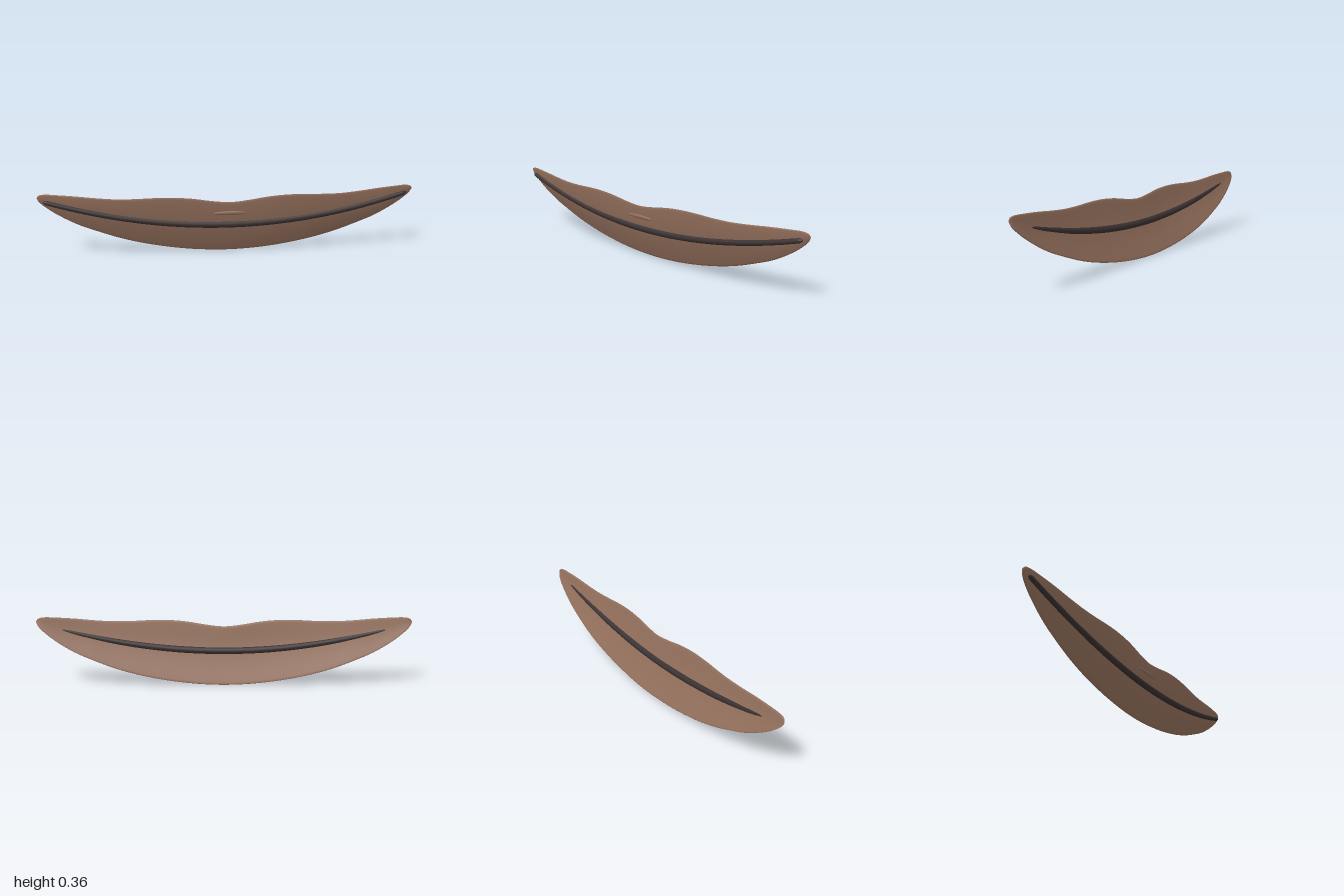
import * as THREE from 'three';

// Joins closed cross-sections (arrays of Vector3) into one smooth skin
function loft(rings) {
  const n = rings[0].length, pos = [], index = [];
  for (const ring of rings) for (const p of ring) pos.push(p.x, p.y, p.z);
  for (let i = 0; i < rings.length - 1; i++) {
    for (let j = 0; j < n; j++) {
      const a = i * n + j, b = i * n + (j + 1) % n;
      index.push(a, a + n, b, b, a + n, b + n);
    }
  }
  const geo = new THREE.BufferGeometry();
  geo.setAttribute('position', new THREE.Float32BufferAttribute(pos, 3));
  geo.setIndex(index);
  geo.computeVertexNormals();
  return geo;
}

// Outline of one half: x, lower y, lower z, upper y, upper z
const OUTLINE = [
  [0, 0.002, -0.050, 0.303, 0.045],
  [0.1, 0.005, -0.050, 0.313, 0.047],
  [0.2, 0.013, -0.049, 0.329, 0.050],
  [0.3, 0.026, -0.049, 0.337, 0.050],
  [0.4, 0.044, -0.048, 0.337, 0.047],
  [0.5, 0.067, -0.047, 0.333, 0.041],
  [0.6, 0.097, -0.044, 0.333, 0.034],
  [0.7, 0.135, -0.040, 0.340, 0.026],
  [0.8, 0.178, -0.034, 0.350, 0.018],
  [0.9, 0.238, -0.026, 0.357, 0.008],
  [0.96, 0.285, -0.019, 0.359, 0.001],
  [0.99, 0.317, -0.012, 0.352, -0.003],
  [1, 0.338, -0.007, 0.338, -0.007],
];

function outlineCurve(yi, zi) {
  const right = OUTLINE.map(r => new THREE.Vector3(r[0], r[yi], r[zi]));
  const left = right.slice(1).reverse().map(p => new THREE.Vector3(-p.x, p.y, p.z));
  return new THREE.CatmullRomCurve3([...left, ...right]);
}

// Thin leaning shell, bowed forward between its lower and upper rims
function lipGeometry() {
  const lower = outlineCurve(1, 2), upper = outlineCurve(3, 4);
  const rings = [], steps = 120, rows = 16;
  for (let i = 0; i <= steps; i++) {
    const a = lower.getPoint(i / steps), b = upper.getPoint(i / steps);
    const height = b.y - a.y;
    const front = [], back = [];
    for (let j = 0; j <= rows; j++) {
      const t = (1 - Math.cos(Math.PI * j / rows)) / 2;
      const p = a.clone().lerp(b, t);
      p.z += 0.048 * height * Math.sin(Math.PI * t);
      const half = 0.0055 * Math.min(1, height / 0.05) *
        Math.pow(Math.max(0, Math.sin(Math.PI * j / rows)), 0.3);
      front.push(new THREE.Vector3(p.x, p.y, p.z + half));
      if (j > 0 && j < rows) back.unshift(new THREE.Vector3(p.x, p.y, p.z - half));
    }
    rings.push([...front, ...back].reverse());
  }
  return loft(rings);
}

// Round strand following the smile, slimmer towards its rounded ends
function mouthLineGeometry() {
  const rings = [], steps = 100, sides = 16, reach = 0.968;
  for (let i = 0; i <= steps; i++) {
    const s = -Math.cos(Math.PI * i / steps), k = s * s;
    const x = s * reach;
    const cap = Math.sqrt(Math.min(1, Math.max(0, (1 - Math.abs(s)) / 0.015)));
    const r = (0.019 - 0.008 * k) * cap;
    const ring = [];
    for (let j = 0; j < sides; j++) {
      const a = 2 * Math.PI * j / sides;
      const dy = r * Math.cos(a);
      const slope = 0.3 * s / reach;
      ring.push(new THREE.Vector3(x - slope * dy, 0.173 + 0.147 * k + dy,
        0.019 - 0.015 * k + r * Math.sin(a)));
    }
    rings.push(ring.reverse());
  }
  return loft(rings);
}

export function createModel() {
  const group = new THREE.Group();
  group.name = 'mouth';
  const skin = new THREE.MeshStandardMaterial({ color: 0x94705c, side: THREE.DoubleSide });
  const dark = new THREE.MeshStandardMaterial({ color: 0x3a3131, side: THREE.DoubleSide });

  const add = (name, geo, mat) => {
    const mesh = new THREE.Mesh(geo, mat);
    mesh.name = name;
    group.add(mesh);
    return mesh;
  };
  add('lips', lipGeometry(), skin);
  add('mouthLine', mouthLineGeometry(), dark);

  // Slight swelling at the middle of the upper lip
  const swell = add('upperLipSwelling', new THREE.SphereGeometry(1, 24, 12), skin);
  swell.scale.set(0.09, 0.012, 0.007);
  swell.position.set(0, 0.24, 0.038);
  swell.rotation.x = 0.3;
  return group;
}
